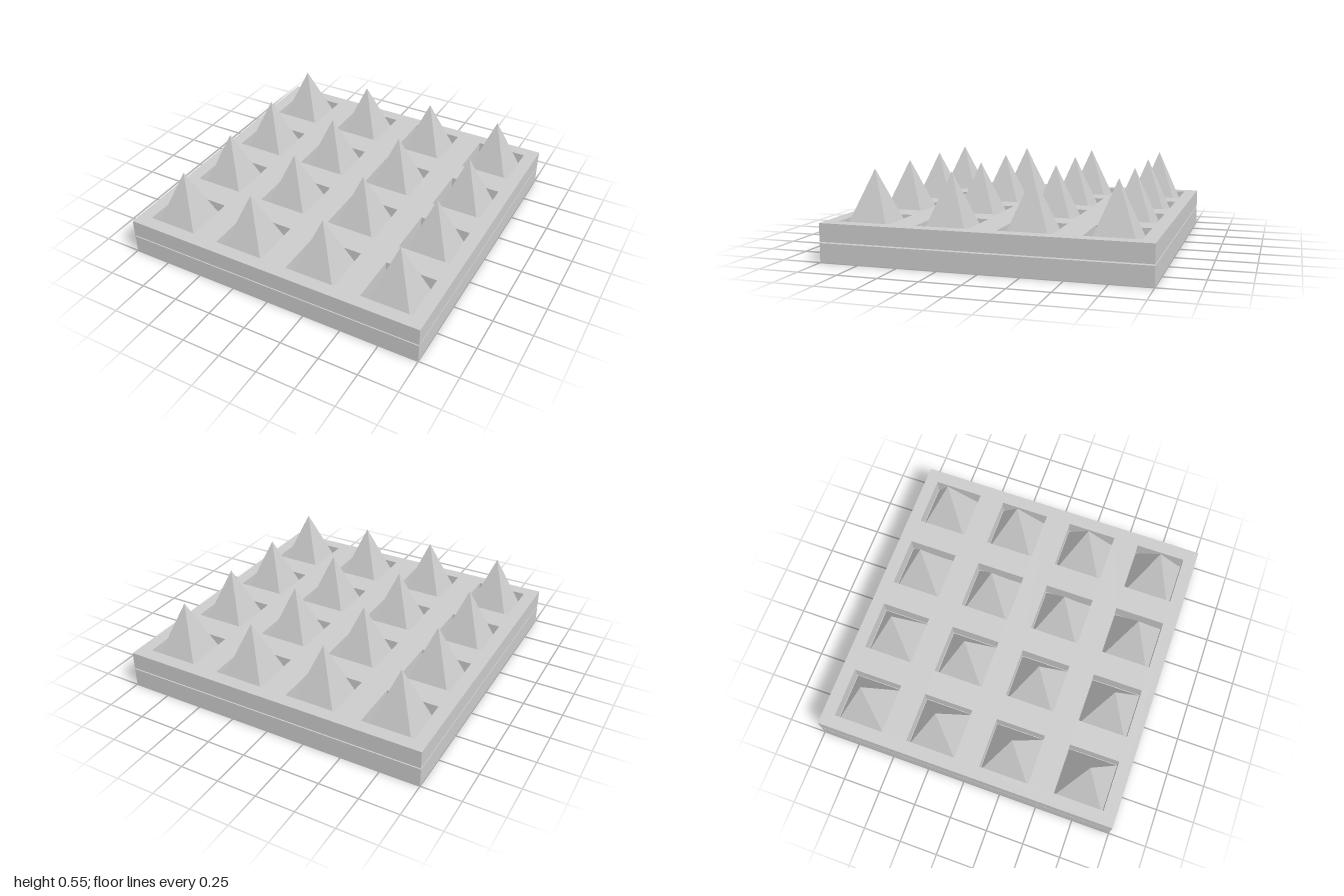
import * as THREE from 'three';

const BASE_TOP = 0.119, PLATE_BOTTOM = 0.127, PLATE_TOP = 0.24, TIP = 0.545;
const SPIKE_HALF = 0.163, HOLE_HALF = 0.165;
const CENTRES = [-0.75, -0.25, 0.25, 0.75];

// Square outline centred on (x, y)
function square(PathType, x, y, half) {
  const path = new PathType();
  path.moveTo(x - half, y - half);
  path.lineTo(x + half, y - half);
  path.lineTo(x + half, y + half);
  path.lineTo(x - half, y + half);
  path.closePath();
  return path;
}

export function createModel() {
  const group = new THREE.Group();
  group.name = 'spikeTrap';
  const material = new THREE.MeshStandardMaterial({ color: 0xcccccc, flatShading: true });

  const add = (name, geometry, x, y, z) => {
    const mesh = new THREE.Mesh(geometry, material);
    mesh.name = name;
    mesh.position.set(x, y, z);
    group.add(mesh);
  };

  // Solid base slab
  add('baseSlab', new THREE.BoxGeometry(2, BASE_TOP, 2), 0, BASE_TOP / 2, 0);

  // Upper plate, pierced by a grid of square holes
  const outline = square(THREE.Shape, 0, 0, 1);
  for (const x of CENTRES) {
    for (const z of CENTRES) outline.holes.push(square(THREE.Path, x, z, HOLE_HALF));
  }
  const plate = new THREE.ExtrudeGeometry(outline, { depth: PLATE_TOP - PLATE_BOTTOM, bevelEnabled: false });
  plate.rotateX(-Math.PI / 2);
  add('piercedPlate', plate, 0, PLATE_BOTTOM, 0);

  // Four-sided spikes standing on the base and rising through the holes
  const height = TIP - BASE_TOP;
  const spike = new THREE.ConeGeometry(SPIKE_HALF * Math.SQRT2, height, 4);
  spike.rotateY(Math.PI / 4);
  for (const x of CENTRES) {
    for (const z of CENTRES) add('spike', spike, x, BASE_TOP + height / 2, z);
  }

  return group;
}
